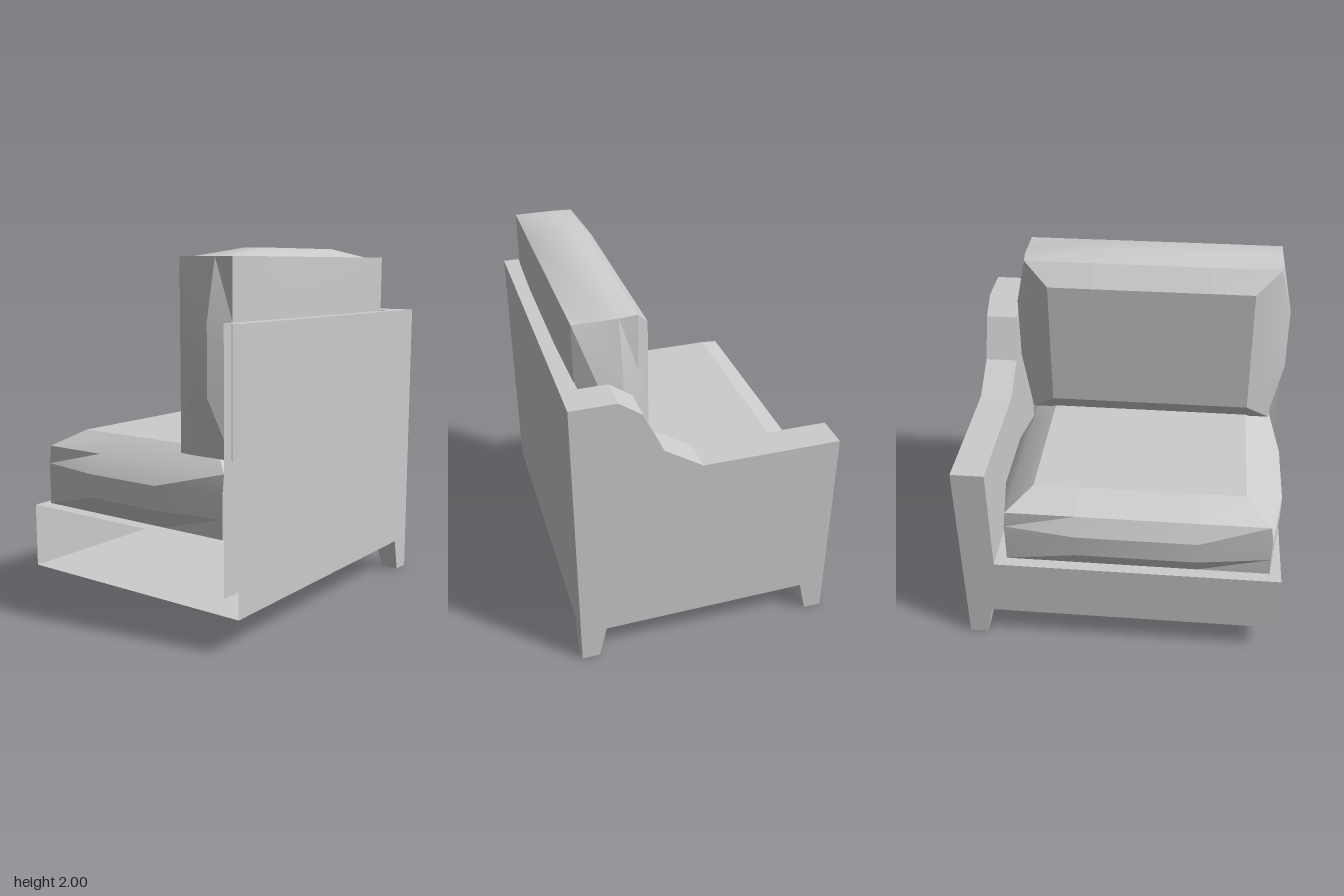
import * as THREE from 'three';
import { toCreasedNormals } from 'three/addons/utils/BufferGeometryUtils.js';

const material = new THREE.MeshStandardMaterial({ color: 0xcccccc, side: THREE.DoubleSide });

const SIDE = 0.905, INNER = 0.72;      // outer x and inner face of the arm
const FRONT = -0.725, BACK = 0.725;    // the seat opens towards -z
const FLOOR = 0.19, DECK = 0.55, TOP = 1.64, BACK_IN = 0.635;

function addMesh(parent, name, geometry) {
  const mesh = new THREE.Mesh(geometry, material);
  mesh.name = name;
  parent.add(mesh);
  return mesh;
}

// Sweeps a [z, y] path along x as an open-ended sheet
function sheet(path, x0, x1) {
  const pos = [];
  for (let i = 0; i < path.length - 1; i++) {
    const [z0, y0] = path[i], [z1, y1] = path[i + 1];
    pos.push(x0, y0, z0, x1, y0, z0, x1, y1, z1);
    pos.push(x0, y0, z0, x1, y1, z1, x0, y1, z1);
  }
  const g = new THREE.BufferGeometry();
  g.setAttribute('position', new THREE.Float32BufferAttribute(pos, 3));
  g.computeVertexNormals();
  return g;
}

// Puffy cushion: stacked 12-point outlines, domed above and nearly flat below
function cushion(halfW, halfL) {
  // y, corner x, corner z, edge x, edge z (x and z as fractions of the half size)
  const levels = [
    [0, 0.42, 0.34, 0.42, 0.34],
    [0.01, 0.92, 0.915, 0.92, 0.915],
    [0.115, 0.92, 0.915, 1, 1],
    [0.245, 0.92, 0.915, 1, 1],
    [0.345, 0.905, 0.915, 0.905, 0.915],
    [0.435, 0.73, 0.695, 0.73, 0.695],
  ];
  const pos = [], index = [], n = 12;
  for (const [y, cx, cz, ex, ez] of levels) {
    const px = Math.min(0.42, cx), pz = Math.min(0.34, cz);
    const loop = [
      [cx, cz], [ex, pz], [ex, -pz],
      [cx, -cz], [px, -ez], [-px, -ez],
      [-cx, -cz], [-ex, -pz], [-ex, pz],
      [-cx, cz], [-px, ez], [px, ez],
    ];
    for (const [x, z] of loop) pos.push(x * halfW, y, z * halfL);
  }
  for (let l = 0; l < levels.length - 1; l++) {
    for (let i = 0; i < n; i++) {
      const a = l * n + i, b = l * n + (i + 1) % n;
      index.push(a, b, b + n, a, b + n, a + n);
    }
  }
  // caps
  const last = (levels.length - 1) * n;
  for (let i = 1; i < n - 1; i++) {
    index.push(0, i + 1, i);
    index.push(last, last + i, last + i + 1);
  }
  const g = new THREE.BufferGeometry();
  g.setAttribute('position', new THREE.Float32BufferAttribute(pos, 3));
  g.setIndex(index);
  return toCreasedNormals(g, 0.45);
}

// Foot with straight outer faces and tapered inner faces; s is the z side
function foot(s) {
  const g = new THREE.BoxGeometry(1, 1, 1);
  const p = g.attributes.position;
  for (let i = 0; i < p.count; i++) {
    const low = p.getY(i) < 0;
    const x = p.getX(i) > 0 ? SIDE : low ? 0.8 : 0.76;
    const z = p.getZ(i) * s > 0 ? BACK : low ? 0.625 : 0.58;
    p.setXYZ(i, x, low ? 0 : FLOOR, z * s);
  }
  g.computeVertexNormals();
  return g;
}

export function createModel() {
  const chair = new THREE.Group();
  chair.name = 'armchair';

  // Hollow base and backrest, open on the armless side
  addMesh(chair, 'frame', sheet([
    [FRONT, FLOOR], [BACK, FLOOR], [BACK, TOP], [BACK_IN, TOP],
    [BACK_IN, DECK], [FRONT, DECK], [FRONT, FLOOR],
  ], -SIDE, INNER));
  addMesh(chair, 'innerBackPanel', sheet([[BACK_IN, DECK], [BACK_IN, 0.28]], -SIDE, INNER));

  // Arm: side profile extruded across x
  const profile = [
    [BACK, FLOOR], [BACK, TOP], [0.48, TOP], [0.36, 1.555],
    [0.25, 1.32], [0.04, 1.185], [FRONT, 1.18], [FRONT, FLOOR],
  ];
  const shape = new THREE.Shape(profile.map(([z, y]) => new THREE.Vector2(-z, y)));
  const arm = new THREE.ExtrudeGeometry(shape, { depth: SIDE - INNER, bevelEnabled: false });
  arm.rotateY(Math.PI / 2);
  arm.translate(INNER, 0, 0);
  addMesh(chair, 'arm', arm);

  // Feet under the arm
  addMesh(chair, 'frontFoot', foot(-1));
  addMesh(chair, 'backFoot', foot(1));

  // Cushions
  const middle = (INNER - SIDE) / 2;
  const seat = addMesh(chair, 'seatCushion', cushion(0.8125, 0.68));
  seat.position.set(middle, 0.545, -0.045);

  const back = addMesh(chair, 'backCushion', cushion(0.8125, 0.54));
  back.rotation.x = -Math.PI / 2;
  back.position.set(middle, 1.46, 0.648);

  return chair;
}
